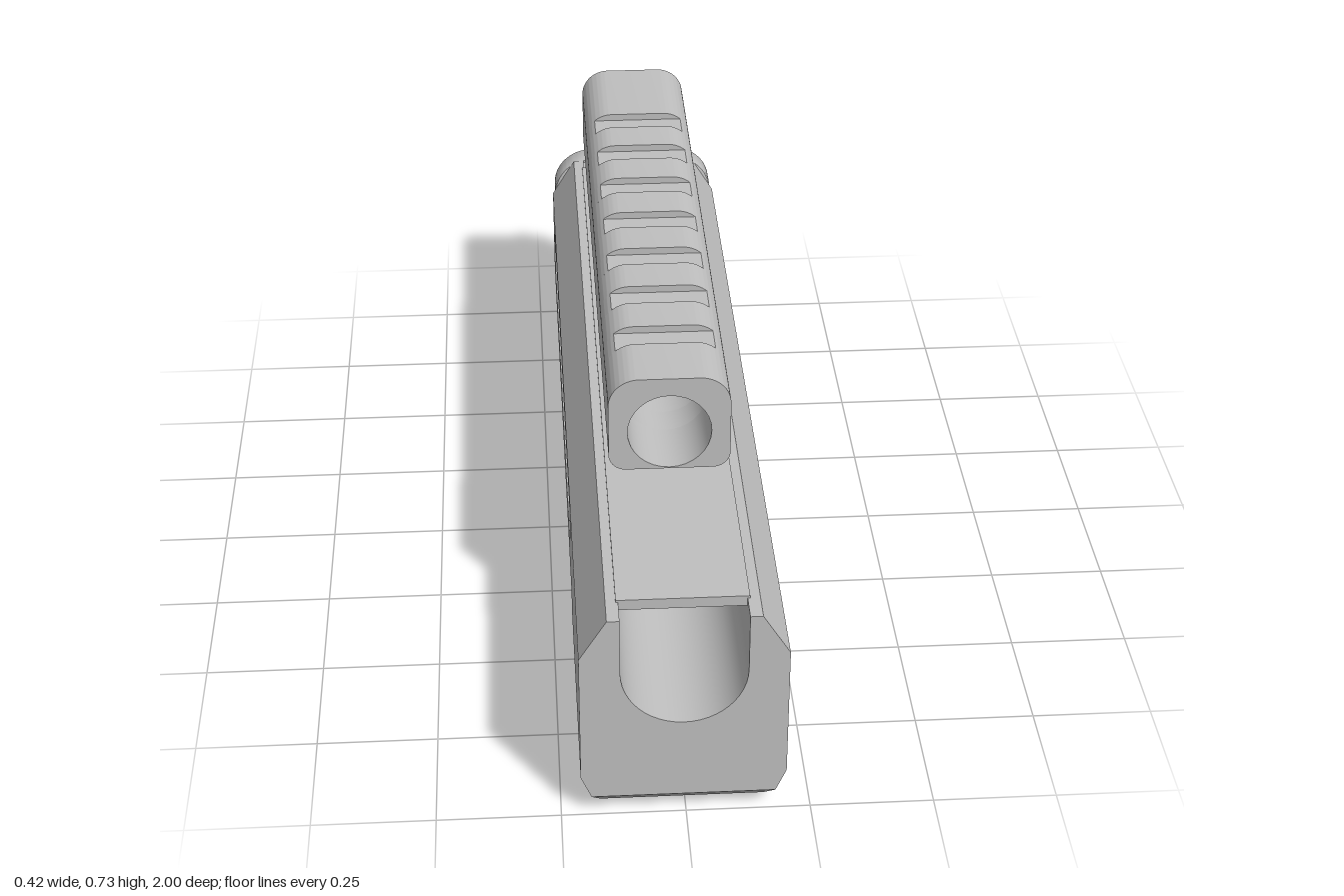
import * as THREE from 'three';
import { toCreasedNormals } from 'three/addons/utils/BufferGeometryUtils.js';

const grey = new THREE.MeshStandardMaterial({ color: 0xbfbfbf, side: THREE.DoubleSide });
grey.name = 'grey';

const poly = (pts) => new THREE.Shape(pts.map((p) => new THREE.Vector2(p[0], p[1])));

function add(group, name, geometry, crease = 0.6) {
  const mesh = new THREE.Mesh(toCreasedNormals(geometry, crease), grey);
  mesh.name = name;
  group.add(mesh);
  return mesh;
}

// Quads between two equally long lists of 3D points
function strip(a, b) {
  const pos = [];
  for (let i = 0; i < a.length - 1; i++) {
    for (const p of [a[i], b[i], b[i + 1], a[i], b[i + 1], a[i + 1]]) pos.push(...p);
  }
  const g = new THREE.BufferGeometry();
  g.setAttribute('position', new THREE.Float32BufferAttribute(pos, 3));
  return g;
}

// Flat shape placed in space by map(u, v)
function sheet(shape, map) {
  const g = new THREE.ShapeGeometry(shape, 12);
  g.deleteAttribute('normal');
  g.deleteAttribute('uv');
  const p = g.attributes.position;
  for (let i = 0; i < p.count; i++) p.setXYZ(i, ...map(p.getX(i), p.getY(i)));
  return g;
}

// Sheet with recessed pockets in place of its holes
function pocketPanel(group, name, shape, holes, map, deep) {
  shape.holes = holes;
  add(group, name, sheet(shape, map));
  for (const hole of holes) {
    const pts = hole.getPoints(12);
    pts.push(pts[0]);
    add(group, name + 'PocketFloor', sheet(hole, deep));
    add(group, name + 'PocketWall',
      strip(pts.map((p) => map(p.x, p.y)), pts.map((p) => deep(p.x, p.y))));
  }
}

// Rounded outline; the top may be cut flat part-way round the corner arcs
function roundedOutline(w, y0, y1, rTop, rBottom, arc = Math.PI / 2) {
  const s = new THREE.Shape();
  const b = rBottom;
  s.moveTo(-w + b, y0);
  s.lineTo(w - b, y0);
  s.absarc(w - b, y0 + b, b, -Math.PI / 2, 0, false);
  s.absarc(w - rTop, y1 - rTop, rTop, 0, arc, false);
  s.absarc(-w + rTop, y1 - rTop, rTop, Math.PI - arc, Math.PI, false);
  s.absarc(-w + b, y0 + b, b, Math.PI, Math.PI * 1.5, false);
  return s;
}

const W = 0.205, FRONT = 1, BACK = -0.935, TOP = 0.48;
// Half width of the body at a height
function halfWidth(y) {
  if (y < 0.095) return 0.165 + (y / 0.095) * 0.04;
  if (y > 0.39) return W - ((y - 0.39) / 0.09) * 0.055;
  return W;
}

function makeBody() {
  const body = new THREE.Group();
  body.name = 'body';

  // Sides, each with a long recessed slot, and their chamfers
  for (const s of [1, -1]) {
    const map = (z, y) => [s * halfWidth(y), y, z];
    const slot = new THREE.Shape();
    slot.absarc(0.378, 0.285, 0.055, -Math.PI / 2, Math.PI / 2, false);
    slot.absarc(-0.795, 0.285, 0.055, Math.PI / 2, Math.PI * 1.5, false);
    const side = poly([[FRONT, 0.095], [FRONT, 0.39], [BACK, 0.39], [BACK, 0.185],
      [-0.88, 0.17], [0.45, 0.145], [0.471, 0.095]]);
    pocketPanel(body, 'side', side, [slot], map, (z, y) => [s * (W - 0.018), y, z]);
    add(body, 'lowerChamfer', sheet(poly([[FRONT, 0.095], [FRONT, 0.045], [0.955, 0],
      [0.58, 0], [0.5, 0.025], [0.471, 0.095]]), map));
    add(body, 'upperChamfer', sheet(poly([[FRONT, 0.39], [FRONT, TOP], [BACK, TOP], [BACK, 0.39]]), map));
    add(body, 'topRail', strip([[s * 0.125, TOP, FRONT], [s * 0.125, TOP, BACK]],
      [[s * 0.15, TOP, FRONT], [s * 0.15, TOP, BACK]]));
  }

  // Belly of the front block and the short rear bevel
  const across = (pts, s) => pts.map(([z, y]) => [s * halfWidth(y), y, z]);
  const belly = [[FRONT, 0.045], [0.955, 0], [0.58, 0], [0.5, 0.025], [0.471, 0.095], [0.45, 0.145]];
  const rear = [[-0.88, 0.17], [BACK, 0.185]];
  add(body, 'frontBelly', strip(across(belly, -1), across(belly, 1)), 0.2);
  add(body, 'rearBevel', strip(across(rear, -1), across(rear, 1)));

  // Underside with three shallow vents
  const under = (lift) => (x, z) => [x, 0.145 + ((0.45 - z) / 1.33) * 0.025 + lift, z];
  const vents = [0.34, 0.21, 0.08].map((z) =>
    poly([[-0.13, z - 0.025], [0.13, z - 0.025], [0.13, z + 0.025], [-0.13, z + 0.025]]));
  pocketPanel(body, 'underside', poly([[-W, 0.45], [W, 0.45], [W, -0.88], [-W, -0.88]]),
    vents, under(0), under(0.012));

  // Channel with a round floor, and the front face cut to match it
  const channel = [[0.125, TOP]];
  for (let i = 0; i <= 24; i++) {
    const a = (-Math.PI * i) / 24;
    channel.push([0.125 * Math.cos(a), 0.353 + 0.125 * Math.sin(a)]);
  }
  channel.push([-0.125, TOP]);
  add(body, 'channel', strip(channel.map(([x, y]) => [x, y, FRONT]), channel.map(([x, y]) => [x, y, BACK])));
  const w0 = halfWidth(0.045);
  add(body, 'frontFace', sheet(poly([...channel, [-0.15, TOP], [-W, 0.39], [-W, 0.095],
    [-w0, 0.045], [w0, 0.045], [W, 0.095], [W, 0.39], [0.15, TOP]]), (x, y) => [x, y, FRONT]));
  add(body, 'backFace', sheet(poly([[-W, 0.185], [W, 0.185], [W, 0.39], [0.15, TOP],
    [-0.15, TOP], [-W, 0.39]]), (x, y) => [x, y, BACK]));
  return body;
}

// Hollow upper tube with flat cuts across its top
function makeUpperTube() {
  const tube = new THREE.Group();
  tube.name = 'upperTube';
  const cuts = [0.54];
  for (let i = 0; i < 7; i++) cuts.push(0.4 - i * 0.168, 0.33 - i * 0.168);
  cuts.push(-0.93);
  for (let i = 0; i < cuts.length - 1; i++) {
    const arc = i % 2 ? Math.asin(0.75) : Math.PI / 2;
    const shape = roundedOutline(0.125, 0.518, 0.733, 0.063, 0.036, arc);
    const bore = new THREE.Path();
    bore.absarc(0, 0.607, 0.086, 0, Math.PI * 2, true);
    shape.holes.push(bore);
    const g = new THREE.ExtrudeGeometry(shape, {
      depth: cuts[i] - cuts[i + 1], bevelEnabled: false, curveSegments: 16 });
    add(tube, i % 2 ? 'tubeGroove' : 'tubeRidge', g).position.z = cuts[i + 1];
  }
  return tube;
}

export function createModel() {
  const model = new THREE.Group();
  model.name = 'model';
  const main = new THREE.Group();
  main.name = 'assembly';
  main.position.x = -0.005;
  model.add(main);
  main.add(makeBody(), makeUpperTube());

  // Stepped lid over the channel
  for (const [w, y0, y1, z0, z1] of [[0.26, 0.476, 0.485, -0.89, 0.94], [0.25, 0.462, 0.478, -0.93, 0.94]]) {
    add(main, 'lid', new THREE.BoxGeometry(w, y1 - y0, z1 - z0)).position.set(0, (y0 + y1) / 2, (z0 + z1) / 2);
  }

  // Rounded end cap
  const cap = new THREE.ExtrudeGeometry(roundedOutline(0.191, 0.173, 0.476, 0.085, 0.075), {
    depth: 0.049, bevelThickness: 0.008, bevelSize: 0.008, bevelSegments: 2, curveSegments: 12 });
  add(main, 'endCap', cap).position.z = -0.992;

  // Latch on the left of the cap
  const latch = new THREE.ExtrudeGeometry(
    poly([[0.945, 0.33], [0.99, 0.318], [0.997, 0.25], [0.965, 0.246]]), { depth: 0.025, bevelEnabled: false });
  latch.rotateY(Math.PI / 2);
  add(main, 'latch', latch).position.x = 0.19;
  return model;
}
